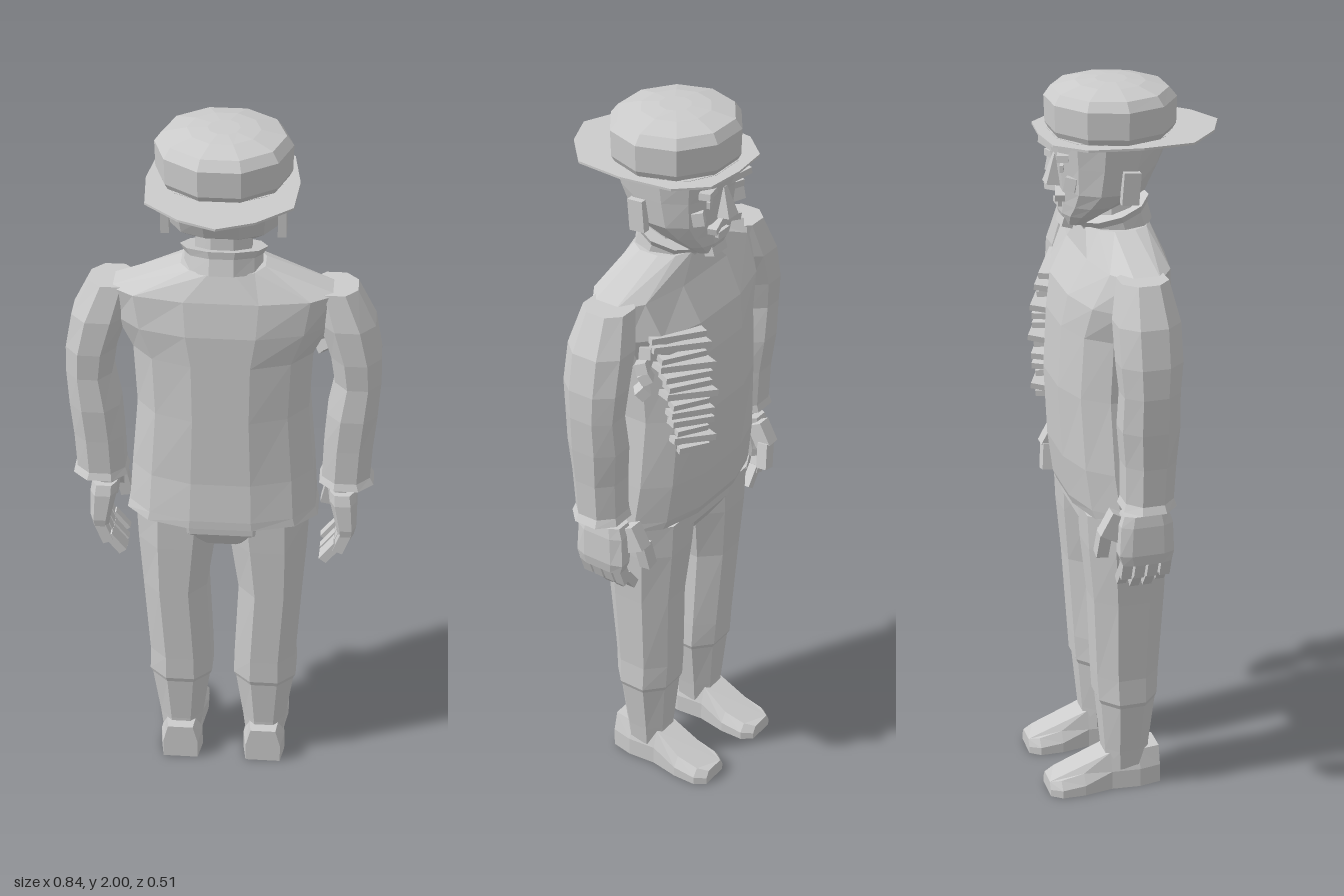
import * as THREE from 'three';

const cloth = new THREE.MeshStandardMaterial({ color: 0xcccccc, flatShading: true, side: THREE.DoubleSide });
cloth.name = 'plain grey';

// Closed loft, bottom to top. Ring: [y, centre x, half width, z min, z max]
function loft(rings, sides, square = 1) {
  const pos = [], idx = [], n = rings.length;
  const bend = v => Math.sign(v) * Math.abs(v) ** square;
  for (const [y, cx, rx, z0, z1] of rings)
    for (let j = 0; j < sides; j++) {
      const a = ((j + 0.5) / sides) * Math.PI * 2, k = 1 / Math.cos(Math.PI / sides) ** 0.7;
      pos.push(cx + rx * bend(Math.sin(a)) * k, y, (z0 + z1) / 2 + ((z1 - z0) / 2) * bend(Math.cos(a)) * k);
    }
  for (const r of [rings[0], rings[n - 1]]) pos.push(r[1], r[0], (r[3] + r[4]) / 2);
  for (let j = 0; j < sides; j++) {
    const k = (j + 1) % sides, top = (n - 1) * sides;
    for (let i = 0; i < n - 1; i++) {
      const a = i * sides + j, b = i * sides + k;
      idx.push(a, b, b + sides, a, b + sides, a + sides);
    }
    idx.push(n * sides, k, j, n * sides + 1, top + j, top + k);
  }
  const g = new THREE.BufferGeometry();
  g.setAttribute('position', new THREE.Float32BufferAttribute(pos, 3));
  g.setIndex(idx);
  g.computeVertexNormals();
  return g;
}

export function createModel() {
  const model = new THREE.Group();
  const add = (name, geo, p = [0, 0, 0], r = [0, 0, 0]) => {
    const m = new THREE.Mesh(geo, cloth);
    m.name = name;
    m.position.set(...p);
    m.rotation.set(...r);
    model.add(m);
    return m;
  };
  const box = (name, size, p, r) => add(name, new THREE.BoxGeometry(...size), p, r);

  // Jacket body, rising into the sloped shoulders
  add('jacket', loft([
    [0.86, 0, 0.262, -0.165, 0.11], [0.885, 0, 0.255, -0.175, 0.11], [1.0, 0, 0.247, -0.19, 0.1],
    [1.2, 0, 0.23, -0.2, 0.1], [1.37, 0, 0.238, -0.19, 0.1], [1.46, 0, 0.28, -0.175, 0.1],
    [1.555, 0, 0.3, -0.125, 0.085], [1.625, 0, 0.11, -0.11, 0.06]], 12, 0.85));
  add('collar', loft([[-0.035, 0, 0.1, -0.09, 0.09], [0.01, 0, 0.098, -0.092, 0.092], [0.03, 0, 0.11, -0.1, 0.1]], 10),
    [0, 1.635, -0.025], [-0.3, 0, 0]);
  add('hips', loft([[0.77, 0, 0.1, -0.12, 0.05], [0.82, 0, 0.225, -0.15, 0.08], [0.9, 0, 0.235, -0.15, 0.085]], 10, 0.85));
  add('neck', loft([[1.58, 0, 0.08, -0.09, 0.04], [1.75, 0, 0.07, -0.085, 0.035]], 8));

  for (const s of [-1, 1]) {
    // Trousers
    add('trouserLeg', loft([
      [0.06, s * 0.12, 0.055, -0.09, 0.03], [0.12, s * 0.12, 0.062, -0.095, 0.032], [0.27, s * 0.12, 0.083, -0.108, 0.048],
      [0.285, s * 0.12, 0.09, -0.115, 0.053], [0.36, s * 0.12, 0.088, -0.12, 0.056], [0.6, s * 0.133, 0.09, -0.132, 0.068],
      [0.76, s * 0.127, 0.107, -0.146, 0.076], [0.86, s * 0.122, 0.116, -0.15, 0.08]], 8, 0.9));

    // Shoe: sole outline extruded upward, its top sloping down to the toe
    const sole = new THREE.Shape([[-0.05, -0.06], [0.05, -0.06], [0.06, 0], [0.052, 0.08], [0.064, 0.16], [0.062, 0.225],
      [0.04, 0.255], [-0.04, 0.255], [-0.062, 0.225], [-0.064, 0.16], [-0.052, 0.08], [-0.06, 0]]
      .map(p => new THREE.Vector2(...p)));
    const shoe = new THREE.ExtrudeGeometry(sole, { depth: 1, steps: 2, bevelEnabled: false });
    shoe.rotateX(-Math.PI / 2);
    const v = shoe.attributes.position;
    for (let i = 0; i < v.count; i++) {
      const h = v.getY(i), z = v.getZ(i);
      const top = z > -0.09 ? 0.11 : THREE.MathUtils.mapLinear(z, -0.09, -0.255, 0.075, 0.04);
      v.setY(i, h * top);
      if (h > 0.9) v.setX(i, v.getX(i) * 0.72);
    }
    add('shoe', shoe, [s * 0.12, 0, 0]);

    // Sleeve with a flared cuff
    add('sleeve', loft([
      [0.955, s * 0.335, 0.075, -0.105, 0.04], [0.975, s * 0.333, 0.066, -0.098, 0.033], [1.08, s * 0.337, 0.067, -0.1, 0.038],
      [1.18, s * 0.345, 0.068, -0.11, 0.045], [1.28, s * 0.357, 0.062, -0.108, 0.042], [1.36, s * 0.35, 0.067, -0.115, 0.05],
      [1.46, s * 0.325, 0.074, -0.115, 0.05], [1.56, s * 0.29, 0.06, -0.095, 0.03]], 8, 0.9));

    // Hand
    add('wrist', loft([[0.88, s * 0.325, 0.035, -0.075, 0.01], [0.97, s * 0.315, 0.035, -0.075, 0.01]], 8));
    add('palm', loft([[0.79, s * 0.338, 0.022, -0.1, 0.03], [0.82, s * 0.338, 0.028, -0.11, 0.036],
      [0.9, s * 0.328, 0.036, -0.105, 0.034], [0.93, s * 0.325, 0.034, -0.095, 0.025]], 8, 0.6));
    for (let f = 0; f < 4; f++) {
      const z = 0.018 - f * 0.035, drop = f === 0 || f === 3 ? 0.012 : 0;
      box('fingerBase', [0.03, 0.065, 0.028], [s * 0.328, 0.775, z], [0, 0, -s * 0.35]);
      box('fingerTip', [0.025, 0.065, 0.025], [s * 0.296, 0.727 + drop, z], [0, 0, -s * 0.65]);
    }
    box('thumbBase', [0.04, 0.07, 0.05], [s * 0.305, 0.89, -0.115], [0.5, 0, 0]);
    box('thumbTip', [0.035, 0.075, 0.032], [s * 0.287, 0.835, -0.138], [0.1, 0, -s * 0.2]);

    // Paired face parts
    box('ear', [0.022, 0.085, 0.045], [s * 0.15, 1.752, -0.022], [0.08, 0, 0]);
    box('brow', [0.075, 0.018, 0.03], [s * 0.062, 1.822, -0.175], [0, s * 0.3, s * 0.12]);
    box('eye', [0.045, 0.018, 0.009], [s * 0.058, 1.795, -0.177], [0, s * 0.35, 0]);
    box('cheek', [0.055, 0.035, 0.03], [s * 0.075, 1.755, -0.155], [0.2, s * 0.5, 0]);
    box('moustacheHalf', [0.06, 0.018, 0.025], [s * 0.03, 1.717, -0.176], [0, s * 0.25, -s * 0.2]);
  }

  // Head and centre of the face
  add('head', loft([
    [1.63, 0, 0.045, -0.16, -0.1], [1.66, 0, 0.08, -0.17, -0.06], [1.69, 0, 0.11, -0.17, -0.01],
    [1.73, 0, 0.138, -0.173, 0.055], [1.8, 0, 0.146, -0.18, 0.09], [1.87, 0, 0.153, -0.19, 0.118]], 12, 0.85));
  add('nose', new THREE.CylinderGeometry(0.01, 0.03, 0.08, 4), [0, 1.775, -0.182], [0.15, Math.PI / 4, 0]);
  box('lowerLip', [0.05, 0.014, 0.02], [0, 1.685, -0.17]);
  box('chin', [0.06, 0.04, 0.03], [0, 1.64, -0.152], [0.3, 0, 0]);

  // Hat
  add('hatCrown', loft([
    [1.865, 0, 0.158, -0.185, 0.118], [1.885, 0, 0.168, -0.195, 0.13], [1.955, 0, 0.17, -0.197, 0.132],
    [1.98, 0, 0.152, -0.18, 0.112], [1.995, 0, 0.09, -0.12, 0.055], [2.0, 0, 0.04, -0.07, 0.01]], 10));
  const half = [[0.108, 0.213], [0.175, 0.14], [0.195, 0], [0.185, -0.135], [0.095, -0.217]];
  const edge = [[0, 0.223], ...half, [0, -0.257], ...half.map(([x, y]) => [-x, y]).reverse()];
  const brim = new THREE.ExtrudeGeometry(new THREE.Shape(edge.map(p => new THREE.Vector2(...p))),
    { depth: 0.006, bevelEnabled: false });
  add('hatBrim', brim.rotateX(-Math.PI / 2), [0, 1.863, 0]);

  // Ragged ridges on the left of the chest, widest at the top
  for (let i = 0; i < 13; i++) {
    const t = i / 12, wobble = Math.sin(i * 2.4);
    box('chestRidge', [0.16 - 0.06 * t + 0.02 * wobble, 0.017, 0.05 + 0.01 * wobble],
      [0.165 - 0.03 * t, 1.455 - 0.34 * t, -0.145 - 0.03 * Math.sin(Math.min(1, t * 2) * 1.57)],
      [0.15 * wobble, -0.45, 0.12 + 0.12 * wobble]);
  }
  for (let i = 0; i < 4; i++)
    box('tornFlap', [0.045, 0.03, 0.03], [0.25 + 0.015 * (i % 2), 1.43 - i * 0.035, -0.115], [0.3 * i, 0.5, 0.4 - 0.3 * i]);

  return model;
}
